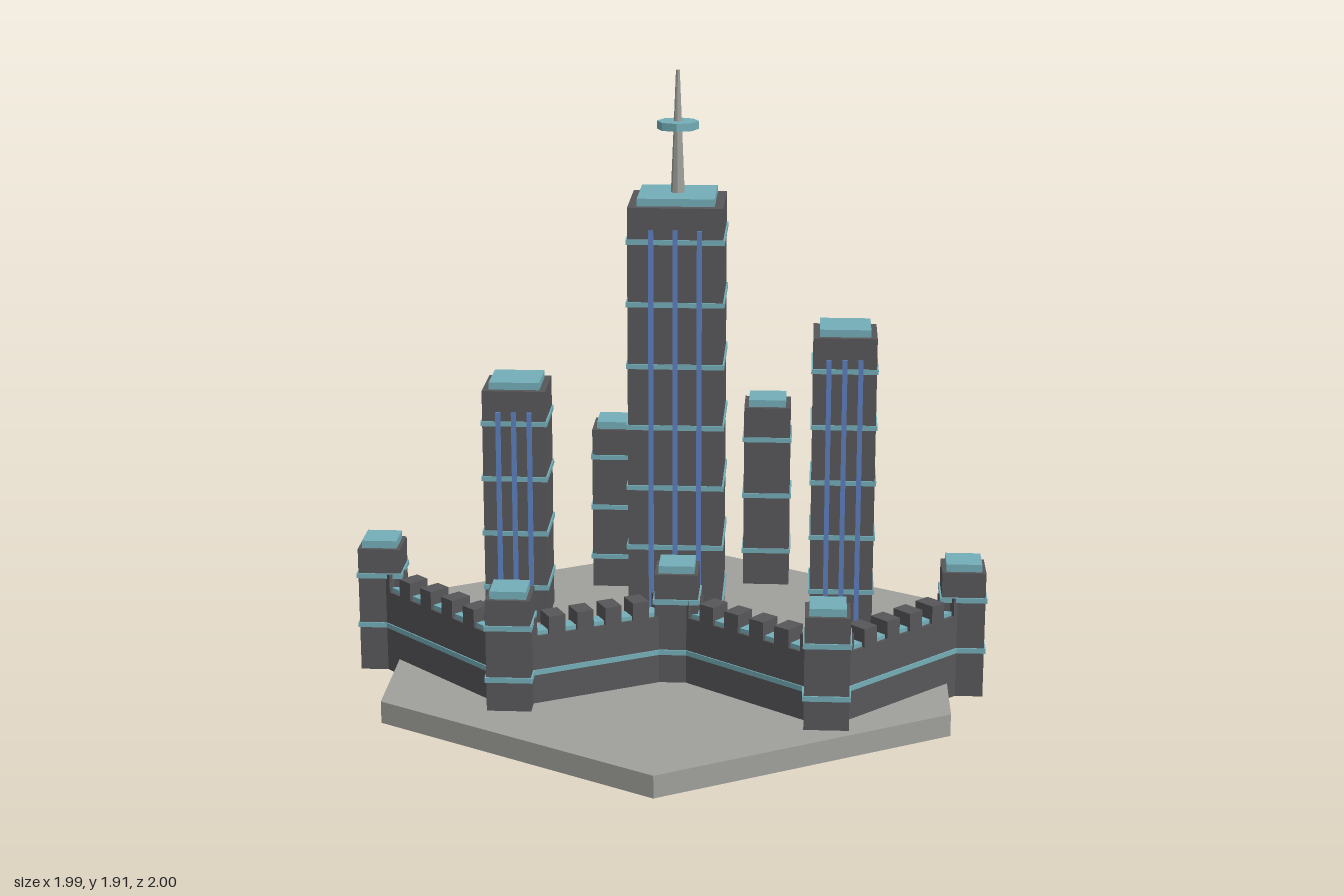
import * as THREE from 'three';

const mat = (name, color) => {
  const m = new THREE.MeshStandardMaterial({ color });
  m.name = name;
  return m;
};

export function createModel() {
  const stone = mat('light stone', 0xa0a09b);
  const dark = mat('dark cladding', 0x57575a);
  const teal = mat('teal trim', 0x74aeb8);
  const blue = mat('blue glazing', 0x5c80bd);

  const model = new THREE.Group();
  model.name = 'walledCity';

  const group = (name, x = 0, z = 0, parent = model) => {
    const g = new THREE.Group();
    g.name = name;
    g.position.set(x, 0, z);
    parent.add(g);
    return g;
  };
  // box given by its size, lower and upper heights
  const box = (parent, name, material, w, d, y0, y1, x = 0, z = 0) => {
    const mesh = new THREE.Mesh(new THREE.BoxGeometry(w, y1 - y0, d), material);
    mesh.name = name;
    mesh.position.set(x, (y0 + y1) / 2, z);
    parent.add(mesh);
  };
  const cylinder = (parent, name, material, rTop, rBottom, y0, y1, sides) => {
    const geo = new THREE.CylinderGeometry(rTop, rBottom, y1 - y0, sides).toNonIndexed();
    geo.computeVertexNormals();
    const mesh = new THREE.Mesh(geo, material);
    mesh.name = name;
    mesh.position.y = (y0 + y1) / 2;
    parent.add(mesh);
  };

  // square tower with trim bands and a roof slab
  const tower = (name, x, z, w, bottom, top, capW, bands) => {
    const g = group(name, x, z);
    box(g, 'shaft', dark, w, w, bottom, top);
    box(g, 'roofSlab', teal, capW, capW, top, top + 0.024);
    for (const y of bands) box(g, 'trimBand', teal, w + 0.01, w + 0.01, y - 0.008, y + 0.008);
    return g;
  };
  const spaced = (first, step, n) => Array.from({ length: n }, (_, i) => first + step * i);
  // three upright glazing strips on the front
  const strips = (g, w, top, gap) => {
    for (const i of [-1, 0, 1]) {
      box(g, 'glazingStrip', blue, 0.016, 0.014, 0.09, top - 0.07, i * gap, w / 2 + 0.002);
    }
  };

  // hexagonal ground slab
  const base = group('base', 0.005, 0);
  cylinder(base, 'groundSlab', stone, 1, 1, 0, 0.07, 6);

  // skyscrapers
  const main = tower('mainTower', 0.006, -0.21, 0.3, 0.06, 1.5, 0.243, spaced(0.192, 0.2, 7));
  strips(main, 0.3, 1.5, 0.076);
  cylinder(main, 'spire', stone, 0.006, 0.022, 1.52, 1.91, 8);
  cylinder(main, 'spireDisc', teal, 0.066, 0.066, 1.725, 1.75, 8);

  const right = tower('leftTower', 0.543, -0.328, 0.206, 0.06, 1.05, 0.165, spaced(0.193, 0.187, 5));
  strips(right, 0.206, 1.05, 0.051);
  const left = tower('rightTower', -0.527, -0.31, 0.206, 0.06, 0.863, 0.165, spaced(0.193, 0.187, 4));
  strips(left, 0.206, 0.863, 0.051);
  tower('backRightTower', -0.227, -0.658, 0.157, 0.06, 0.63, 0.126, spaced(0.178, 0.178, 3));
  tower('backLeftTower', 0.288, -0.708, 0.157, 0.06, 0.702, 0.126, spaced(0.192, 0.199, 3));

  // zigzag city wall: towers at the corners, battlements between
  const corners = [[-0.925, 0.038], [-0.461, 0.485], [0.03, 0.226], [0.495, 0.577], [0.916, 0.157]];
  corners.forEach(([x, z]) => tower('wallTower', x, z, 0.135, 0.018, 0.423, 0.11, [0.17, 0.335]));

  for (let i = 0; i < corners.length - 1; i++) {
    const [x0, z0] = corners[i];
    const [x1, z1] = corners[i + 1];
    const length = Math.hypot(x1 - x0, z1 - z0);
    const wall = group('wall', (x0 + x1) / 2, (z0 + z1) / 2);
    wall.rotation.y = -Math.atan2(z1 - z0, x1 - x0);
    box(wall, 'wallBody', dark, length, 0.07, 0.018, 0.285);
    box(wall, 'wallBand', teal, length, 0.078, 0.162, 0.178);
    box(wall, 'walkway', teal, length, 0.05, 0.285, 0.298);
    for (let k = 0; k < 6; k++) {
      box(wall, 'merlon', dark, 0.054, 0.07, 0.285, 0.342, ((k + 0.5) / 6 - 0.5) * length);
    }
  }
  return model;
}
